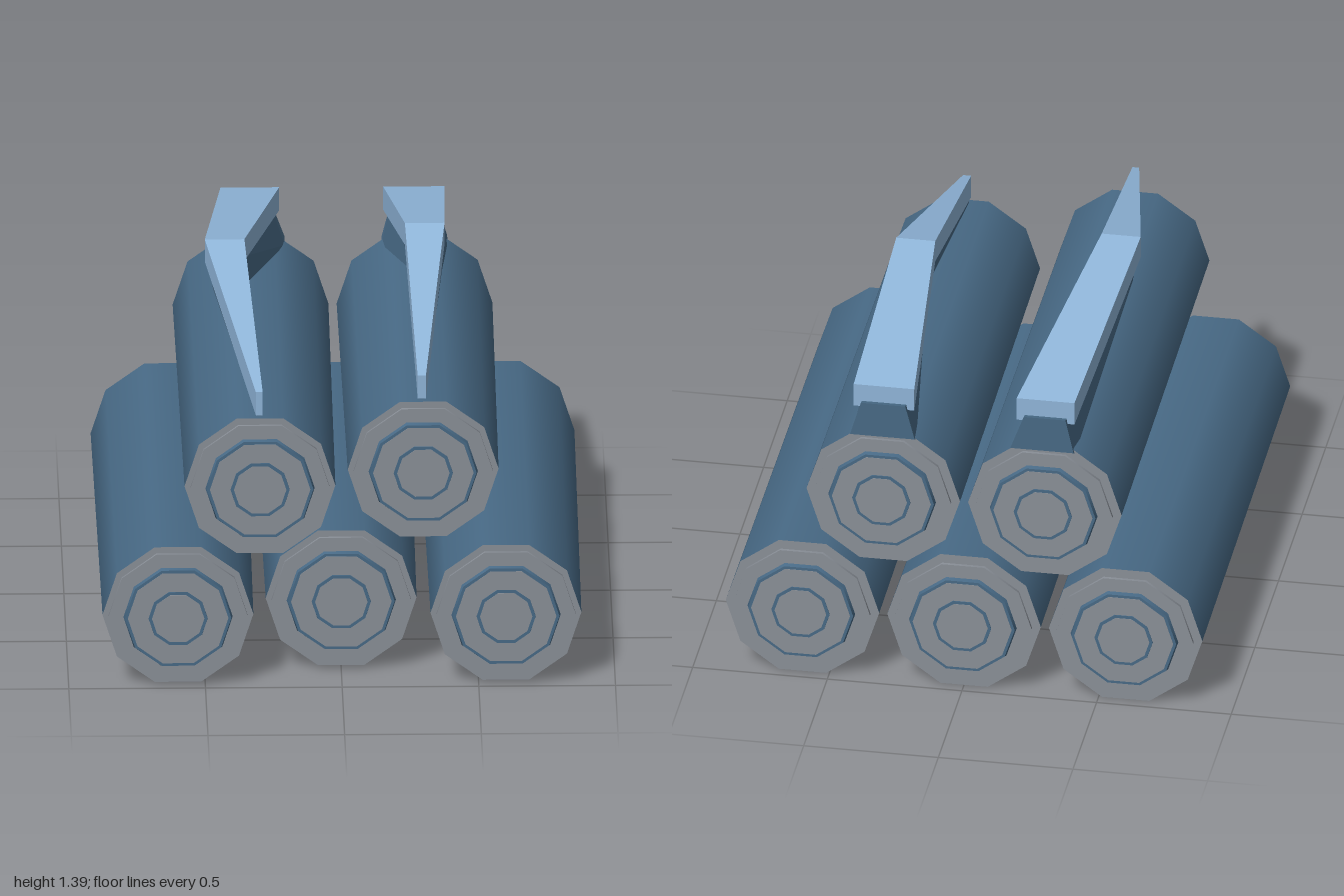
import * as THREE from 'three';

const bodyBlue = new THREE.MeshStandardMaterial({ name: 'steel blue', color: 0x486a86 });
const capGrey = new THREE.MeshStandardMaterial({ name: 'cap grey', color: 0x8a9098 });
const finBlue = new THREE.MeshStandardMaterial({ name: 'light blue', color: 0x90b6da });

const SIDES = 10;
const BACK = -0.955;

function addMesh(parent, name, geometry, material) {
  const mesh = new THREE.Mesh(geometry, material);
  mesh.name = name;
  parent.add(mesh);
  return mesh;
}

// Ten-sided prism along z, with a flat side up
function prism(rFront, rBack, z0, z1) {
  const g = new THREE.CylinderGeometry(rFront, rBack, z1 - z0, SIDES, 1, false, Math.PI / SIDES);
  return g.rotateX(Math.PI / 2).translate(0, 0, (z0 + z1) / 2);
}

// Thin end plate with two raised rims around grey faces
function endCap(name) {
  const cap = new THREE.Group();
  cap.name = name;
  addMesh(cap, 'endPlate', prism(0.255, 0.255, 0.012, 0.024), capGrey);
  addMesh(cap, 'outerRim', prism(0.195, 0.2, 0.024, 0.040), bodyBlue);
  addMesh(cap, 'outerFace', prism(0.184, 0.184, 0.036, 0.0415), capGrey);
  addMesh(cap, 'innerRim', prism(0.108, 0.11, 0.036, 0.0435), bodyBlue);
  addMesh(cap, 'innerFace', prism(0.096, 0.096, 0.040, 0.045), capGrey);
  return cap;
}

function tube(name, x, y, front) {
  const tubeGroup = new THREE.Group();
  tubeGroup.name = name;
  tubeGroup.position.set(x, y, 0);
  addMesh(tubeGroup, 'tubeBody', prism(0.276, 0.285, BACK, front), [bodyBlue, capGrey, capGrey]);
  const frontCap = endCap('frontCap');
  frontCap.position.z = front;
  const backCap = endCap('backCap');
  backCap.position.z = BACK;
  backCap.rotation.y = Math.PI;
  tubeGroup.add(frontCap, backCap);
  return tubeGroup;
}

// Flat-shaded loft through sections listed from back to front,
// each one anticlockwise as seen from the front
function loft(sections) {
  const pos = [];
  const quad = (a, b, c, d) => pos.push(...a, ...b, ...c, ...a, ...c, ...d);
  for (let s = 0; s < sections.length - 1; s++) {
    const a = sections[s], b = sections[s + 1];
    for (let i = 0; i < 4; i++) {
      const j = (i + 1) % 4;
      quad(a[i], a[j], b[j], b[i]);
    }
  }
  const [back, front] = [sections[0], sections[sections.length - 1]];
  quad(...front);
  quad(back[3], back[2], back[1], back[0]);
  const g = new THREE.BufferGeometry();
  g.setAttribute('position', new THREE.Float32BufferAttribute(pos, 3));
  g.computeVertexNormals();
  return g;
}

// Four-sided section: bottom edge xb0..xb1, top edge xt0..xt1
const section = (z, y0, y1, xb0, xb1, xt0 = xb0, xt1 = xb1) =>
  [[xb0, y0, z], [xb1, y0, z], [xt1, y1, z], [xt0, y1, z]];

// Bent fin: a light strip over a darker keel; each pair is the x range
function fin(name, tipZ, kinkZ, tip, kink, back, foot) {
  const g = new THREE.Group();
  g.name = name;
  addMesh(g, 'finStrip', loft([
    section(-0.955, 1.14, 1.23, ...back),
    section(kinkZ, 1.305, 1.39, ...kink),
    section(tipZ, 1.05, 1.14, ...tip),
  ]), finBlue);
  const inset = 0.012;
  addMesh(g, 'finKeel', loft([
    section(-0.975, 1.03, 1.165, ...foot, back[0] + 0.03, back[1] - 0.03),
    section(-0.94, 1.01, 1.16, ...foot, back[0] + 0.03, back[1] - 0.03),
    section(kinkZ, 1.2, 1.32, kink[0] + 0.03, kink[1] - 0.01, kink[0] + inset, kink[1] - inset),
    section(tipZ - 0.02, 1.04, 1.07, tip[0] + 0.004, tip[1] - 0.004),
  ]), bodyBlue);
  return g;
}

export function createModel() {
  const model = new THREE.Group();
  model.name = 'tubeCluster';

  // Three tubes below, two above
  const LONG = 0.955, SHORT = 0.79;
  model.add(
    tube('lowerRightTube', -0.6, 0.275, LONG),
    tube('lowerMiddleTube', 0, 0.275, SHORT),
    tube('lowerLeftTube', 0.6, 0.275, LONG),
    tube('upperRightTube', -0.3, 0.775, LONG),
    tube('upperLeftTube', 0.3, 0.775, SHORT),
  );

  // One bent fin on each upper tube
  model.add(
    fin('rightFin', 0.955, 0.02, [-0.315, -0.29], [-0.485, -0.34], [-0.41, -0.195], [-0.41, -0.175]),
    fin('leftFin', 0.79, -0.14, [0.28, 0.31], [0.25, 0.395], [0.185, 0.41], [0.18, 0.42]),
  );
  return model;
}
